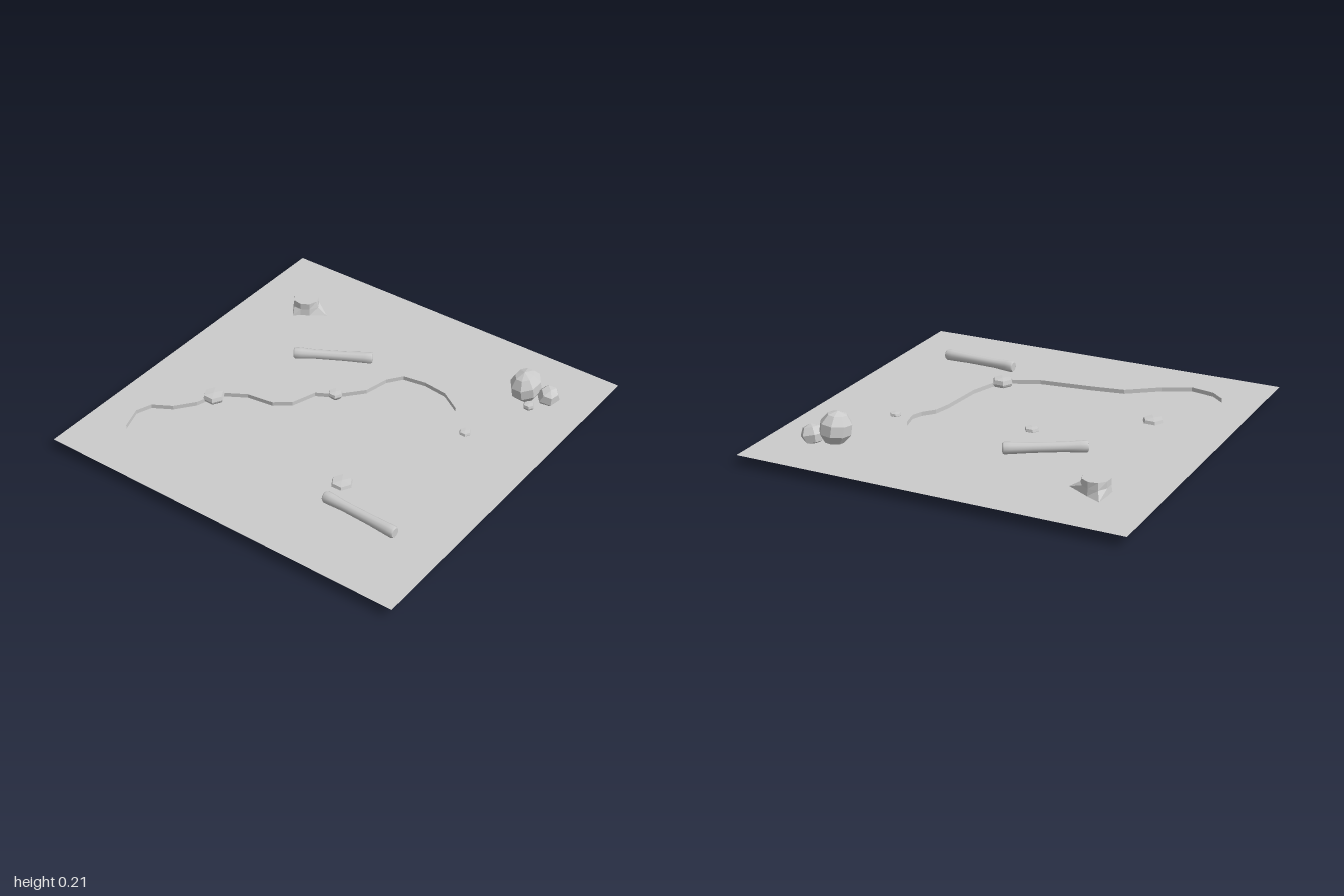
import * as THREE from 'three';

const GROUND_Y = 0.052, WATER_Y = 0.03;
const flat = new THREE.MeshStandardMaterial({ color: 0xcccccc, flatShading: true, side: THREE.DoubleSide });
const smooth = new THREE.MeshStandardMaterial({ color: 0xcccccc, side: THREE.DoubleSide });

// Pond shoreline as [x, z]
const SHORE = [
  [0.08, -0.425], [0.2, -0.445], [0.33, -0.43], [0.44, -0.36], [0.49, -0.275], [0.51, -0.185],
  [0.49, -0.13], [0.44, -0.07], [0.42, 0.02], [0.4, 0.26], [0.36, 0.39], [0.3, 0.475],
  [0.155, 0.54], [-0.12, 0.575], [-0.295, 0.605], [-0.455, 0.725], [-0.595, 0.795], [-0.72, 0.77],
  [-0.79, 0.71], [-0.83, 0.59], [-0.8, 0.51], [-0.705, 0.455], [-0.63, 0.36], [-0.59, 0.235],
  [-0.465, 0.16], [-0.325, 0.14], [-0.245, 0.08], [-0.2, -0.05], [-0.11, -0.1], [-0.005, -0.22],
  [0.025, -0.35],
];

function addMesh(parent, name, geometry, material = flat) {
  const mesh = new THREE.Mesh(geometry, material);
  mesh.name = name;
  parent.add(mesh);
  return mesh;
}

// Vertical bank between the ground and the water
function bankGeometry() {
  const pos = [], index = [], n = SHORE.length;
  SHORE.forEach(([x, z], i) => {
    const a = i * 2, b = ((i + 1) % n) * 2;
    pos.push(x, GROUND_Y, z, x, WATER_Y, z);
    index.push(a, a + 1, b, b, a + 1, b + 1);
  });
  const g = new THREE.BufferGeometry();
  g.setAttribute('position', new THREE.Float32BufferAttribute(pos, 3));
  g.setIndex(index);
  g.computeVertexNormals();
  return g;
}

function lathe(points, sides) {
  return new THREE.LatheGeometry(points.map(([r, y]) => new THREE.Vector2(r, y)), sides);
}

// Six-sided stone: flat crown, upright sides, tapering underside
function addStone(parent, name, x, z, r, bottom, top) {
  const h = top - bottom;
  const g = lathe([[0, 0], [r * 0.55, h * 0.12], [r * 0.93, h * 0.5], [r, h * 0.65], [r * 0.88, h * 0.94], [0, h]], 6);
  g.rotateY(Math.PI / 6 + Math.PI / 3);
  addMesh(parent, name, g).position.set(x, bottom, z);
}

// Fallen log lying between two points, slightly waisted with rounded rims
function addLog(parent, name, [x1, z1], [x2, z2], r) {
  const len = Math.hypot(x2 - x1, z2 - z1), h = len / 2;
  const log = new THREE.Group();
  log.name = name;
  addMesh(log, 'bark', lathe([[r * 0.8, -h], [r, -h + 0.008], [r * 0.97, -h + 0.04], [r * 0.82, -h * 0.45],
    [r * 0.85, h * 0.3], [r * 0.97, h - 0.04], [r, h - 0.008], [r * 0.8, h]], 10), smooth);
  for (const s of [-1, 1]) {
    const end = addMesh(log, 'cutEnd', new THREE.CircleGeometry(r * 0.8, 10));
    end.rotation.x = -s * Math.PI / 2;
    end.position.y = s * h;
  }
  const dir = new THREE.Vector3(x2 - x1, 0, z2 - z1).normalize();
  log.quaternion.setFromUnitVectors(new THREE.Vector3(0, 1, 0), dir);
  log.position.set((x1 + x2) / 2, 0.081, (z1 + z2) / 2);
  parent.add(log);
}

// Tree stump: every third foot vertex is drawn out into a root
function addStump(parent) {
  const stump = new THREE.Group();
  stump.name = 'stump';
  const sides = 9, height = 0.068, start = -Math.PI / 6;
  const g = new THREE.CylinderGeometry(0.068, 0.068, height, sides, 2, true, start);
  const p = g.attributes.position;
  const roots = [[-0.015, 0.1], [0.132, -0.005], [-0.062, -0.108]];
  for (let i = 0; i <= sides; i++) {
    const mid = sides + 1 + i, foot = 2 * (sides + 1) + i;
    if (i % 3 === 0) {
      const [x, z] = roots[(i / 3) % 3];
      p.setX(foot, x);
      p.setZ(foot, z);
      p.setX(mid, p.getX(mid) * 0.85 + x * 0.15);
      p.setZ(mid, p.getZ(mid) * 0.85 + z * 0.15);
    } else {
      p.setX(foot, p.getX(foot) * 1.08);
      p.setZ(foot, p.getZ(foot) * 1.08);
    }
  }
  g.computeVertexNormals();
  addMesh(stump, 'trunkAndRoots', g);
  const top = addMesh(stump, 'cutTop', new THREE.CircleGeometry(0.068, sides, start - Math.PI / 2));
  top.rotation.x = -Math.PI / 2;
  top.position.y = height / 2;
  stump.position.set(-0.687, GROUND_Y + height / 2, -0.622);
  parent.add(stump);
}

function addBoulder(parent, name, [x, y, z], [sx, sy, sz], sides, rings, [rx, ry, rz]) {
  const g = new THREE.SphereGeometry(1, sides, rings);
  g.rotateX(rx).rotateY(ry).rotateZ(rz).scale(sx, sy, sz);
  addMesh(parent, name, g).position.set(x, y, z);
}

export function createModel() {
  const model = new THREE.Group();
  model.name = 'pondScene';

  // Ground sheet with the pond cut out
  const shore = SHORE.map(([x, z]) => new THREE.Vector2(x, -z));
  const sheet = new THREE.Shape([[-1, -1], [1, -1], [1, 1], [-1, 1]].map(([x, y]) => new THREE.Vector2(x, y)));
  sheet.holes.push(new THREE.Path(shore));
  addMesh(model, 'ground', new THREE.ShapeGeometry(sheet).rotateX(-Math.PI / 2)).position.y = GROUND_Y;
  addMesh(model, 'water', new THREE.ShapeGeometry(new THREE.Shape(shore)).rotateX(-Math.PI / 2)).position.y = WATER_Y;
  addMesh(model, 'bank', bankGeometry());

  // Stones around the shore
  addStone(model, 'shoreStone', -0.595, 0.27, 0.057, 0.005, 0.072);
  addStone(model, 'shoreStone', 0.325, 0.44, 0.057, 0, 0.072);
  addStone(model, 'pebble', -0.11, -0.1, 0.038, 0.024, 0.069);
  addStone(model, 'pebble', 0.585, -0.222, 0.031, 0.03, 0.067);
  addStone(model, 'pebble', 0.73, -0.575, 0.029, 0.036, 0.08);

  // Fallen logs
  addLog(model, 'backLog', [-0.47, -0.228], [-0.115, -0.428], 0.03);
  addLog(model, 'frontLog', [0.335, 0.588], [0.745, 0.607], 0.03);

  addStump(model);

  // Boulder pile in the back corner
  addBoulder(model, 'largeBoulder', [0.667, 0.123, -0.647], [0.08, 0.085, 0.094], 8, 5, [0.15, 0.3, 0.12]);
  addBoulder(model, 'smallBoulder', [0.778, 0.083, -0.682], [0.06, 0.052, 0.064], 6, 4, [0.2, 0.3, -0.25]);
  return model;
}
